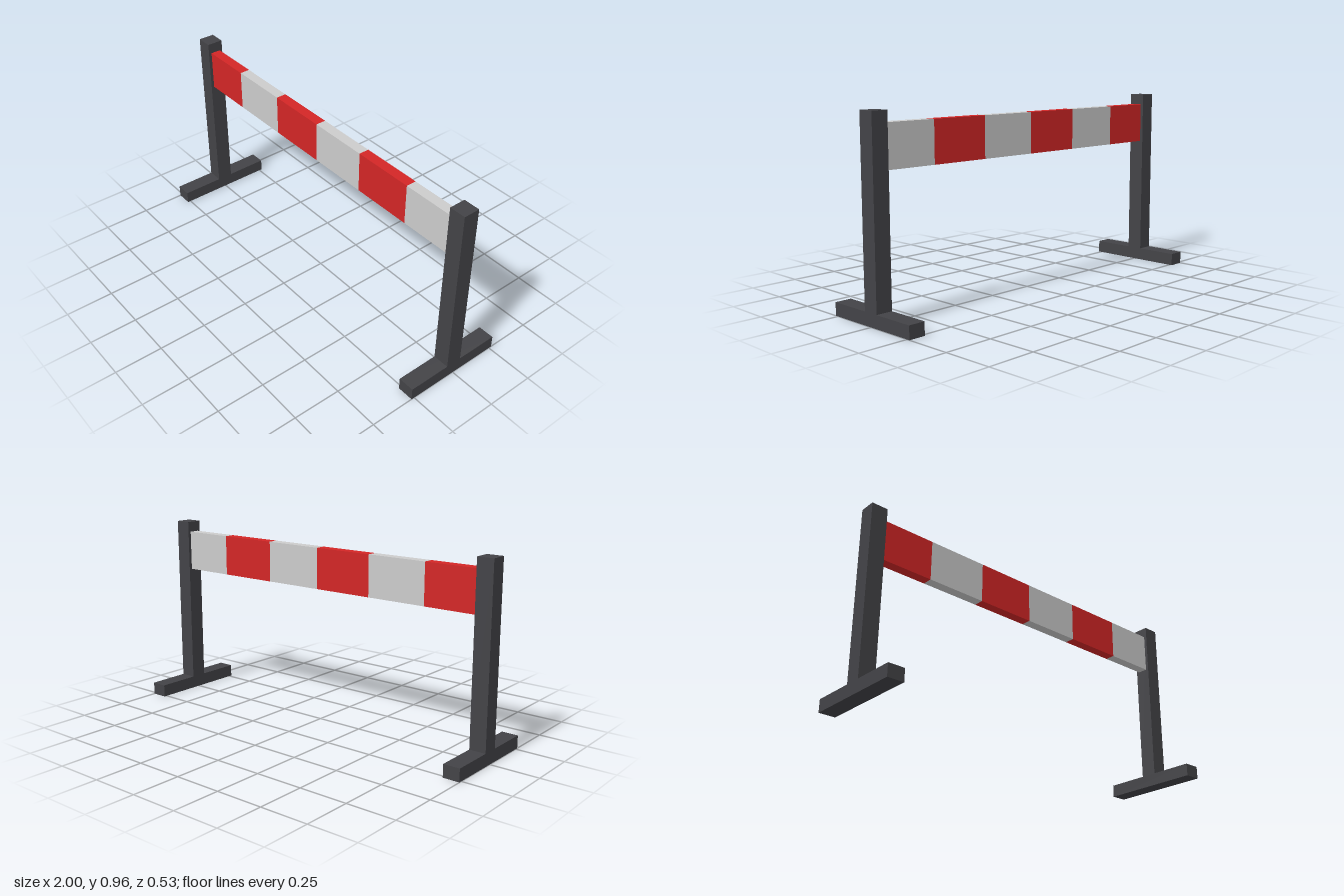
import * as THREE from 'three';

const dark = new THREE.MeshStandardMaterial({ color: 0x434347 });
const red = new THREE.MeshStandardMaterial({ color: 0xd32626 });
const grey = new THREE.MeshStandardMaterial({ color: 0xcccccc });

function box(name, material, [w, h, d], [x, y, z]) {
  const mesh = new THREE.Mesh(new THREE.BoxGeometry(w, h, d), material);
  mesh.name = name;
  mesh.position.set(x, y, z);
  return mesh;
}

export function createModel() {
  const barrier = new THREE.Group();
  barrier.name = 'barrier';

  // Two upright posts, each on a long foot
  const thick = 0.085, postTop = 0.96, footHeight = 0.065;
  for (const [side, label] of [[1, 'left'], [-1, 'right']]) {
    const stand = new THREE.Group();
    stand.name = label + 'Stand';
    stand.position.x = side * (1 - thick / 2);
    const postHeight = postTop - footHeight;
    stand.add(
      box('foot', dark, [thick, footHeight, 0.532], [0, footHeight / 2, 0]),
      box('post', dark, [thick, postHeight, thick], [0, footHeight + postHeight / 2, 0])
    );
    barrier.add(stand);
  }

  // Striped board, its ends set into the posts
  const board = new THREE.Group();
  board.name = 'board';
  board.position.y = 0.8;
  const stripes = 6, stripeWidth = 0.319;
  for (let i = 0; i < stripes; i++) {
    const x = (i - (stripes - 1) / 2) * stripeWidth;
    const isRed = i % 2 === 0;
    board.add(box(isRed ? 'redStripe' : 'greyStripe', isRed ? red : grey, [stripeWidth, 0.21, 0.053], [x, 0, 0]));
  }
  barrier.add(board);

  return barrier;
}
